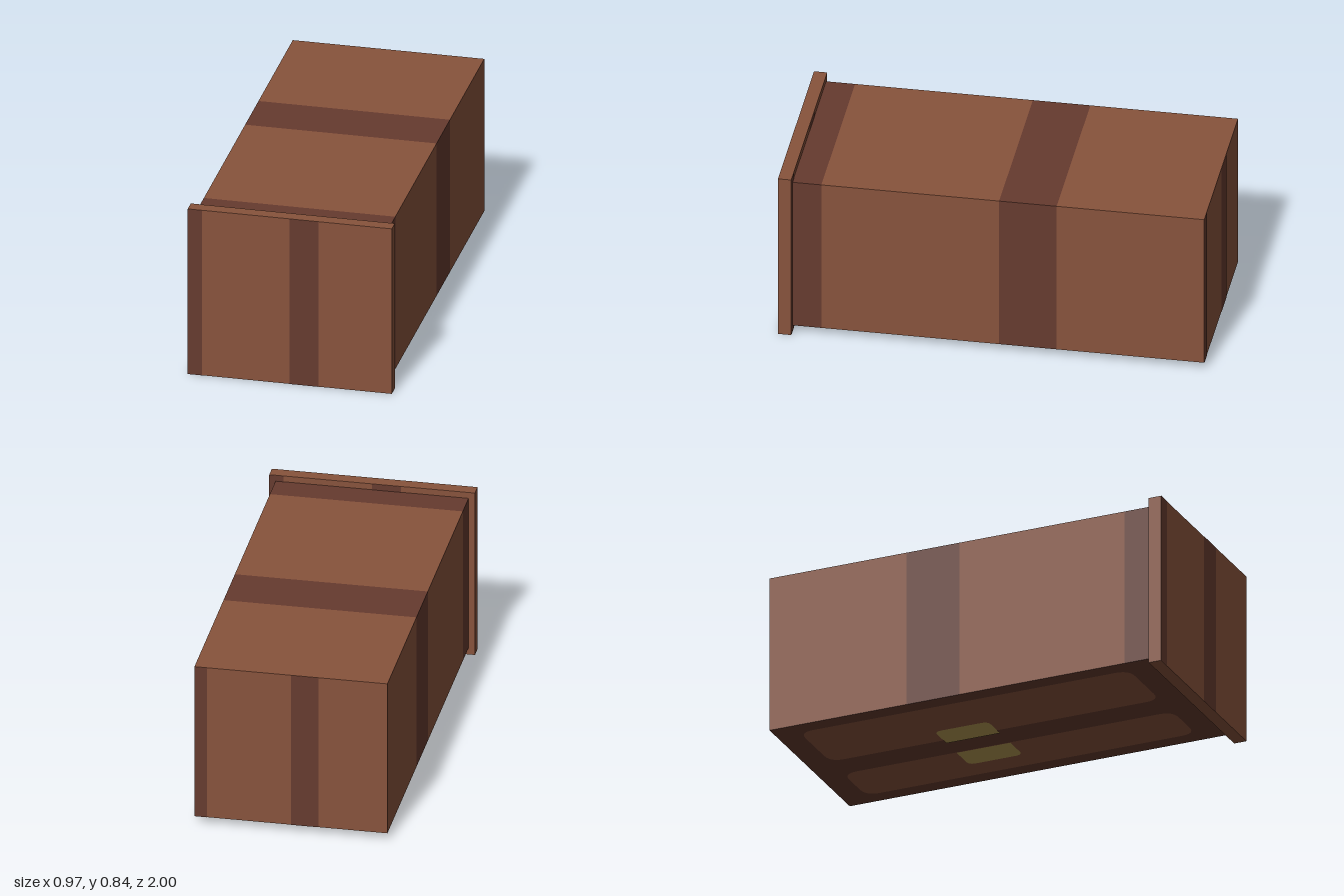
import * as THREE from 'three';

export function createModel() {
  const model = new THREE.Group();
  const mat = (name, color) => {
    const m = new THREE.MeshStandardMaterial({ color });
    m.name = name;
    return m;
  };
  const light = mat('lightBrown', 0x88533c);
  const dark = mat('darkBrown', 0x663b2f);
  const gold = mat('gold', 0xb89c54);

  const add = (name, geometry, material, parent = model) => {
    const mesh = new THREE.Mesh(geometry, material);
    mesh.name = name;
    parent.add(mesh);
    return mesh;
  };

  // Flat plate from a to b; rOuter / rInner round the corners at b / a in x
  const plate = (x0, x1, y0, y1, r0 = 0, r1 = 0) => {
    const s = new THREE.Shape();
    s.moveTo(x0 + r0, y0);
    s.lineTo(x1 - r1, y0);
    if (r1) s.quadraticCurveTo(x1, y0, x1, y0 + r1);
    s.lineTo(x1, y1 - r1);
    if (r1) s.quadraticCurveTo(x1, y1, x1 - r1, y1);
    s.lineTo(x0 + r0, y1);
    if (r0) s.quadraticCurveTo(x0, y1, x0, y1 - r0);
    s.lineTo(x0, y0 + r0);
    if (r0) s.quadraticCurveTo(x0, y0, x0 + r0, y0);
    return new THREE.ShapeGeometry(s, 6);
  };

  // Body: a run of segments along z, with a dark underside
  const body = new THREE.Group();
  body.name = 'body';
  model.add(body);
  const cuts = [-0.9985, -0.305, -0.035, 0.8, 0.936];
  for (let i = 0; i < 4; i++) {
    const side = i % 2 ? dark : light;
    const g = new THREE.BoxGeometry(0.91, 0.775, cuts[i + 1] - cuts[i]);
    add(i % 2 ? 'darkBand' : 'bodySection', g, [side, side, side, dark, side, side], body)
      .position.set(0, 0.4225, (cuts[i] + cuts[i + 1]) / 2);
  }

  // Wide front lid
  add('frontLid', new THREE.BoxGeometry(0.97, 0.84, 0.062), light).position.set(0, 0.42, 0.9675);

  // Upright stripes on the lid and on the rear end
  const stripes = (name, edge, inner, mid, y0, y1, z, back) => {
    for (const [a, b] of [[-edge, -inner], [0, mid]]) {
      const m = add(name, plate(a, b, y0, y1), dark);
      m.position.z = z;
      if (back) m.rotation.y = Math.PI;
    }
  };
  stripes('lidFrontStripe', 0.485, 0.418, 0.137, 0, 0.84, 1, false);
  stripes('lidBackStripe', 0.485, 0.418, 0.137, 0, 0.84, 0.935, true);
  stripes('rearStripe', 0.455, 0.395, 0.13, 0.035, 0.81, -1, true);

  // Underside: two long rounded panels, each with a gold patch
  const under = (name, geometry, material, y) => {
    const m = add(name, geometry, material);
    m.rotation.x = Math.PI / 2;
    m.position.y = y;
  };
  under('leftBasePanel', plate(0.115, 0.375, -0.88, 0.79, 0.07, 0.07), light, 0.033);
  under('rightBasePanel', plate(-0.38, -0.03, -0.88, 0.79, 0.07, 0.07), light, 0.033);
  under('leftGoldPatch', plate(0.115, 0.257, -0.305, -0.033, 0, 0.035), gold, 0.031);
  under('rightGoldPatch', plate(-0.137, 0, -0.305, -0.033, 0.035, 0), gold, 0.031);

  return model;
}
